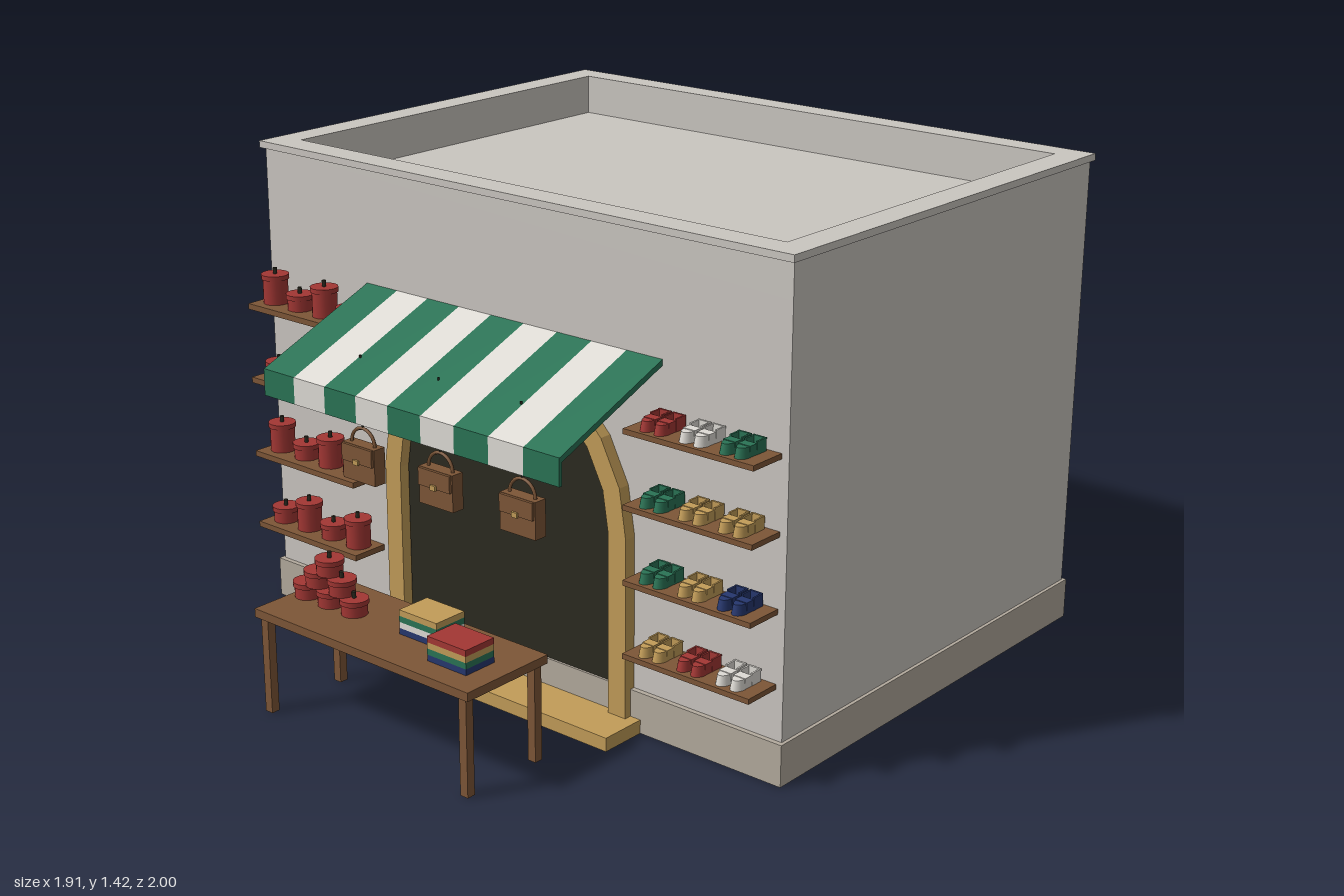
import * as THREE from 'three';

const mat = (name, color) => {
  const m = new THREE.MeshStandardMaterial({ color });
  m.name = name;
  return m;
};

export function createModel() {
  const root = new THREE.Group();
  root.name = 'marketShop';
  const stone = mat('stone', 0xcac6c0), plinthStone = mat('plinthStone', 0xb3aa9d);
  const tan = mat('tanWood', 0xc29c58), brown = mat('brownWood', 0x7d5637);
  const dark = mat('darkInterior', 0x2b2a20), green = mat('green', 0x2a7355);
  const white = mat('white', 0xdedbd5), red = mat('red', 0xa33734);
  const blue = mat('blue', 0x26376f);

  const add = (parent, name, geo, m, x = 0, y = 0, z = 0) => {
    const mesh = new THREE.Mesh(geo, m);
    mesh.name = name;
    mesh.position.set(x, y, z);
    parent.add(mesh);
    return mesh;
  };
  // box given by its min and max on each axis
  const box = (parent, name, m, x0, x1, y0, y1, z0, z1) =>
    add(parent, name, new THREE.BoxGeometry(x1 - x0, y1 - y0, z1 - z0), m,
      (x0 + x1) / 2, (y0 + y1) / 2, (z0 + z1) / 2);
  const group = (name, x = 0, y = 0, z = 0, parent = root) => {
    const g = new THREE.Group();
    g.name = name;
    g.position.set(x, y, z);
    parent.add(g);
    return g;
  };

  // Building: plinth, walls, recessed roof with parapet and coping
  box(root, 'plinth', plinthStone, -0.955, 0.955, 0, 0.12, -1, 0.425);
  box(root, 'walls', stone, -0.945, 0.945, 0.12, 1.3, -0.99, 0.41);
  const ring = (name, hx, z0, z1, y, h) => {
    const s = new THREE.Shape([[-hx, -z1], [hx, -z1], [hx, -z0], [-hx, -z0]]
      .map(p => new THREE.Vector2(...p)));
    s.holes.push(new THREE.Path([[-0.87, -0.34], [-0.87, 0.92], [0.87, 0.92], [0.87, -0.34]]
      .map(p => new THREE.Vector2(...p))));
    const geo = new THREE.ExtrudeGeometry(s, { depth: h, bevelEnabled: false });
    geo.rotateX(-Math.PI / 2);
    add(root, name, geo, stone, 0, y, 0);
  };
  ring('parapet', 0.945, -0.99, 0.41, 1.3, 0.1);
  ring('coping', 0.955, -1, 0.425, 1.4, 0.02);

  // Arched doorway: dark opening, wooden surround and step
  const archPoints = (r, y0) => {
    const pts = [new THREE.Vector2(r, y0)];
    for (let i = 0; i <= 10; i++) {
      const a = (i / 10) * Math.PI;
      pts.push(new THREE.Vector2(r * Math.cos(a), 0.56 + r * Math.sin(a)));
    }
    pts.push(new THREE.Vector2(-r, y0));
    return pts;
  };
  const flat = (pts, depth) =>
    new THREE.ExtrudeGeometry(new THREE.Shape(pts), { depth, bevelEnabled: false });
  add(root, 'doorOpening', flat(archPoints(0.386, 0.12), 0.008), dark, 0, 0, 0.41);
  add(root, 'doorSurround',
    flat([...archPoints(0.45, 0.04), ...archPoints(0.39, 0.04).reverse()], 0.037), tan, 0, 0, 0.41);
  box(root, 'doorStep', tan, -0.485, 0.485, 0, 0.04, 0.41, 0.567);

  // Striped awning with valance and support arms
  const awning = group('awning');
  const tilt = Math.atan2(0.155, 0.39);
  for (let i = 0; i < 9; i++) {
    const x = -0.48 + i * 0.12, m = i % 2 ? white : green;
    add(awning, 'awningStripe', new THREE.BoxGeometry(0.12, 0.016, 0.425), m, x, 0.983, 0.603)
      .rotation.x = tilt;
    box(awning, 'valanceStripe', m, x - 0.06, x + 0.06, 0.835, 0.912, 0.795, 0.806);
  }
  for (const x of [-0.52, 0.52]) {
    add(awning, 'awningArm', new THREE.CylinderGeometry(0.008, 0.008, 0.425, 8), brown, x, 0.968, 0.605)
      .rotation.x = Math.PI / 2 + tilt;
  }

  // Hanging bags
  for (const x of [-0.295, 0, 0.295]) {
    const bag = group('hangingBag', x, 0.61, 0.675);
    box(bag, 'bagBody', brown, -0.062, 0.062, 0, 0.105, -0.02, 0.02);
    box(bag, 'bagFlap', brown, -0.058, 0.058, 0.055, 0.104, 0.02, 0.028);
    box(bag, 'bagClasp', tan, -0.01, 0.01, 0.052, 0.066, 0.028, 0.034);
    add(bag, 'bagHandle', new THREE.TorusGeometry(0.045, 0.005, 6, 14, Math.PI), brown, 0, 0.105, 0);
    add(bag, 'bagCord', new THREE.CylinderGeometry(0.003, 0.003, 0.21, 6), dark, 0, 0.255, 0);
  }

  // Lidded round box with a dark knob
  const jar = (parent, x, y, z, h) => {
    const g = group('jar', x, y, z, parent);
    add(g, 'jarBody', new THREE.CylinderGeometry(0.037, 0.037, h - 0.012, 14), red, 0, (h - 0.012) / 2, 0);
    add(g, 'jarLid', new THREE.CylinderGeometry(0.041, 0.041, 0.014, 14), red, 0, h - 0.007, 0);
    add(g, 'jarKnob', new THREE.CylinderGeometry(0.006, 0.006, 0.018, 8), dark, 0, h + 0.009, 0);
  };

  // Slipper: rounded toe, side walls and low heel
  const toeGeo = new THREE.CylinderGeometry(0.016, 0.02, 0.028, 12, 1, false, -Math.PI / 2, Math.PI);
  toeGeo.scale(1, 1, 1.5);
  const shoe = (parent, m, x, y) => {
    const g = group('shoe', x, y, 0.47, parent);
    add(g, 'shoeToe', toeGeo, m, 0, 0.014, 0.015);
    box(g, 'shoeVamp', m, -0.019, 0.019, 0, 0.03, -0.012, 0.0155);
    box(g, 'shoeSole', m, -0.02, 0.02, 0, 0.01, -0.05, -0.012);
    for (const s of [-1, 1]) {
      add(g, 'shoeSide', new THREE.BoxGeometry(0.005, 0.025, 0.038), m, s * 0.0175, 0.0225, -0.031);
    }
    box(g, 'shoeHeel', m, -0.02, 0.02, 0.01, 0.036, -0.05, -0.044);
  };

  // Wall shelves: jars on the right side, slippers on the left
  [0.96, 0.735, 0.505, 0.28].forEach((y, r) => {
    const shelf = group('jarShelf');
    box(shelf, 'shelfBoard', brown, -0.922, -0.505, y - 0.017, y, 0.41, 0.525);
    for (let i = 0; i < 4; i++) jar(shelf, -0.87 + i * 0.104, y, 0.463, (i + r) % 2 ? 0.047 : 0.087);
  });
  const shoeRows = [[red, white, green], [green, tan, tan], [green, tan, blue], [tan, red, white]];
  [0.905, 0.697, 0.487, 0.278].forEach((y, r) => {
    const shelf = group('shoeShelf');
    box(shelf, 'shelfBoard', brown, 0.505, 0.922, y - 0.015, y, 0.41, 0.525);
    shoeRows[r].forEach((m, i) => {
      for (const s of [-1, 1]) shoe(shelf, m, 0.583 + i * 0.128 + s * 0.023, y);
    });
  });

  // Display table
  const table = group('table');
  box(table, 'tableTop', brown, -0.4, 0.4, 0.28, 0.305, 0.7, 1);
  for (const x of [-0.372, 0.372]) {
    for (const z of [0.722, 0.978]) box(table, 'tableLeg', brown, x - 0.013, x + 0.013, 0, 0.28, z - 0.013, z + 0.013);
  }

  // Pyramid of jars
  for (let row = 0; row < 3; row++) {
    for (let i = 0; i < 3 - row; i++) {
      jar(table, -0.355 + row * 0.046 + i * 0.092, 0.305 + row * 0.046, 0.845, 0.046);
    }
  }

  // Folded cloth stacks
  const stack = (colours, x0, z0) => colours.forEach((m, i) =>
    box(table, 'foldedCloth', m, x0, x0 + 0.138, 0.305 + i * 0.0175, 0.3225 + i * 0.0175, z0, z0 + 0.105));
  stack([blue, white, green, tan], 0.017, 0.755);
  stack([blue, green, tan, red], 0.19, 0.825);

  return root;
}
